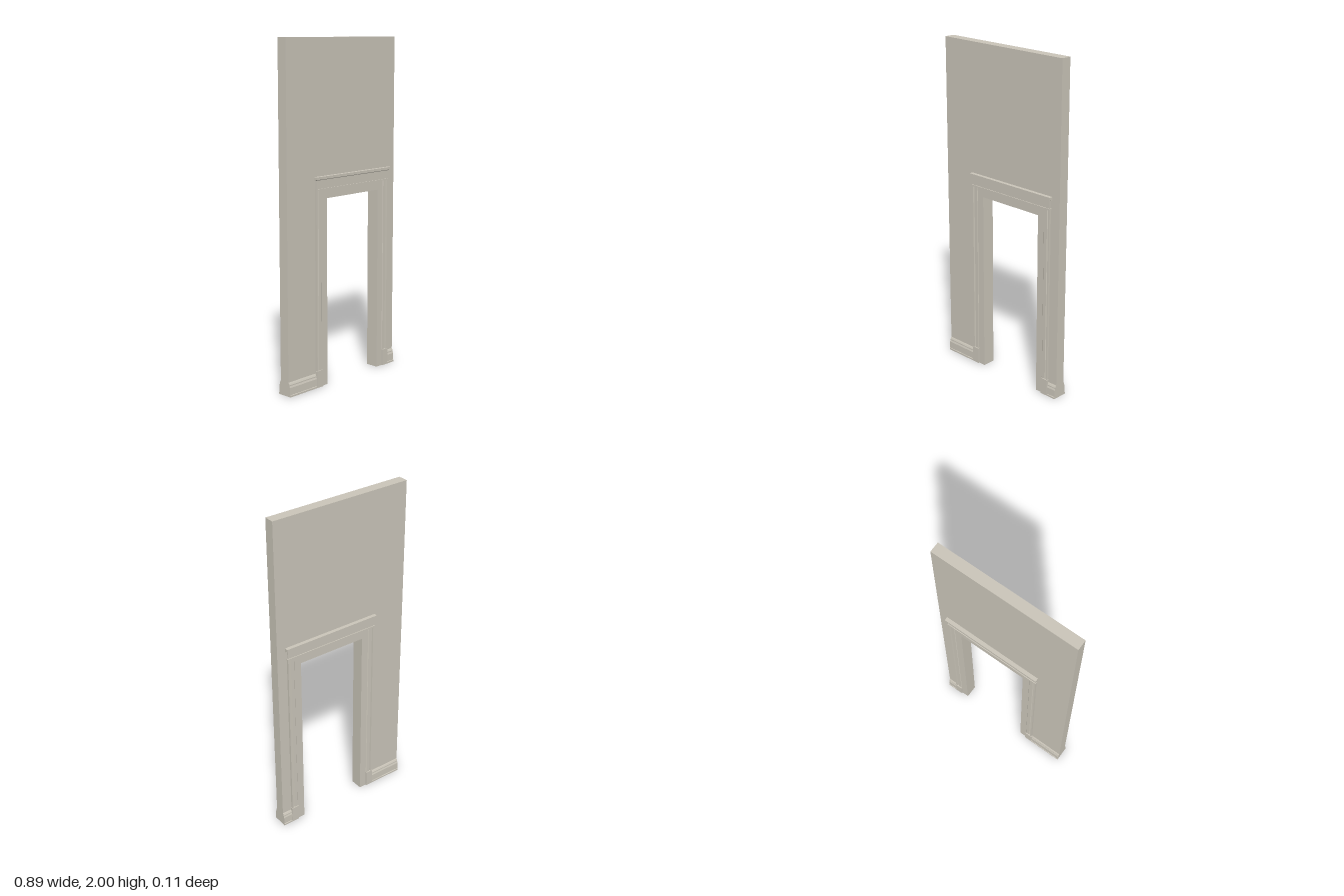
import * as THREE from 'three';

export function createModel() {
  const model = new THREE.Group();
  model.name = 'doorwayWall';
  const plaster = new THREE.MeshStandardMaterial({ color: 0xc9c4b8 });
  plaster.name = 'warm grey plaster';

  const L = -0.447, R = 0.447;      // wall ends
  const DL = -0.14, DR = 0.295;     // door opening
  const DOOR_H = 1.1, HEAD = 1.15;

  function add(name, geometry) {
    const mesh = new THREE.Mesh(geometry, plaster);
    mesh.name = name;
    model.add(mesh);
    return mesh;
  }

  // box from its limits, symmetric front to back
  function block(name, x0, x1, y0, y1, halfDepth) {
    const g = new THREE.BoxGeometry(x1 - x0, y1 - y0, halfDepth * 2);
    g.translate((x0 + x1) / 2, (y0 + y1) / 2, 0);
    return add(name, g);
  }

  // closed section with matching front and back, from [position, half depth] pairs
  function mirroredSection(points) {
    const back = points.map(([p, z]) => [p, -z]).reverse();
    return new THREE.Shape([...points, ...back].map(([p, z]) => new THREE.Vector2(p, z)));
  }

  // moulding running along x; points are [height, half depth]
  function horizontal(name, points, x0, x1) {
    const s = mirroredSection(points.map(([y, z]) => [y, z]));
    const g = new THREE.ExtrudeGeometry(s, { depth: x1 - x0, bevelEnabled: false });
    // (height, depth, run) becomes (run, height, depth)
    g.applyMatrix4(new THREE.Matrix4().set(0, 0, 1, x0, 1, 0, 0, 0, 0, 1, 0, 0, 0, 0, 0, 1));
    return add(name, g);
  }

  // moulding standing upright; points are [x, half depth]
  function vertical(name, points, y0, y1) {
    const s = mirroredSection(points.map(([x, z]) => [x, z]));
    const g = new THREE.ExtrudeGeometry(s, { depth: y1 - y0, bevelEnabled: false });
    g.rotateX(-Math.PI / 2);
    g.translate(0, y0, 0);
    return add(name, g);
  }

  // wall with the doorway cut out, slightly oversize behind the casing
  const o = 0.02;
  const wall = new THREE.Shape([
    [L, 0], [DL - o, 0], [DL - o, DOOR_H + o], [DR + o, DOOR_H + o],
    [DR + o, 0], [R, 0], [R, 2], [L, 2],
  ].map(([x, y]) => new THREE.Vector2(x, y)));
  const wallGeometry = new THREE.ExtrudeGeometry(wall, { depth: 0.062, bevelEnabled: false });
  wallGeometry.translate(0, 0, -0.031);
  add('wall', wallGeometry);

  // side casings: flat board, raised step, groove and outer band
  const casing = [
    [0, 0.039], [0.045, 0.039], [0.048, 0.041], [0.07, 0.041],
    [0.073, 0.035], [0.077, 0.035], [0.079, 0.044], [0.089, 0.044],
  ];
  for (const [edge, side, label] of [[DL, -1, 'right'], [DR, 1, 'left']]) {
    vertical(label + 'Casing', casing.map(([d, z]) => [edge + side * d, z]), 0, HEAD);
    const a = edge + side * 0.045, b = edge + side * 0.092;
    block(label + 'PlinthBlock', Math.min(a, b), Math.max(a, b), 0, 0.1, 0.0468);
  }

  // head of the doorway: lintel board, bead, frieze and cornice
  block('headCasing', DL, DR, DOOR_H, HEAD, 0.039);
  block('frieze', -0.225, 0.38, HEAD, 1.216, 0.039);
  block('friezeBead', -0.23, 0.386, HEAD, 1.159, 0.044);
  horizontal('cornice', [
    [1.208, 0.039], [1.214, 0.046], [1.214, 0.054], [1.229, 0.054],
  ], -0.236, 0.394);

  // skirting boards on both faces
  const skirting = [
    [0, 0.0468], [0.01, 0.0468], [0.012, 0.044], [0.054, 0.043],
    [0.064, 0.039], [0.07, 0.039], [0.078, 0.035], [0.084, 0.031],
  ];
  horizontal('rightSkirting', skirting, L, DL - 0.08);
  horizontal('leftSkirting', skirting, DR + 0.08, R);

  // make sure every moulding faces outward
  model.traverse((m) => {
    if (m.isMesh) m.geometry.computeBoundingBox();
  });
  return model;
}
